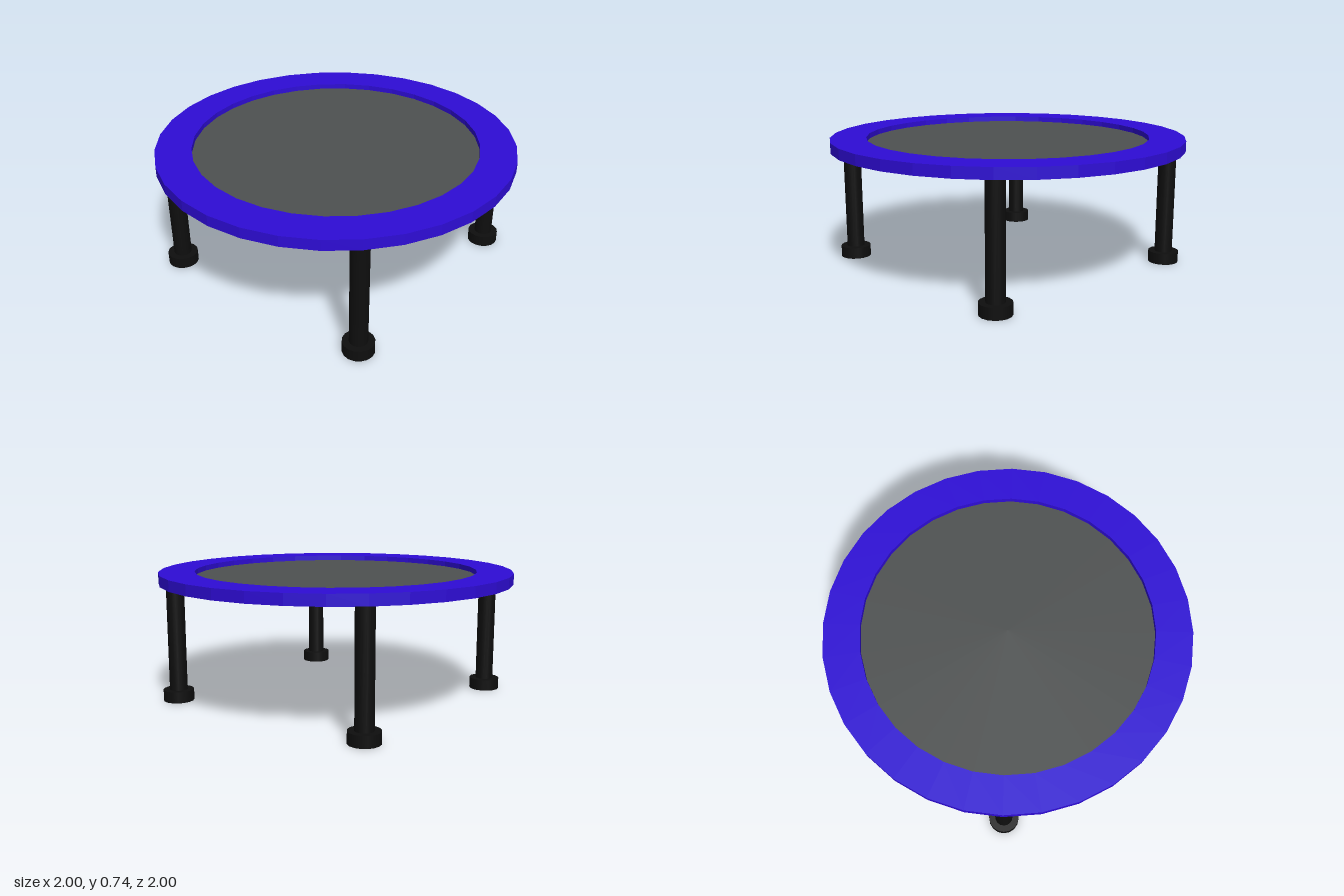
import * as THREE from 'three';

const SIDES = 32;

export function createModel() {
  const padBlue = new THREE.MeshStandardMaterial({ color: 0x2e0cd6 });
  const matGrey = new THREE.MeshStandardMaterial({ color: 0x4e5151 });
  const legBlack = new THREE.MeshStandardMaterial({ color: 0x0e0e0e });
  padBlue.flatShading = true;

  const model = new THREE.Group();
  model.name = 'trampoline';

  const add = (parent, name, geometry, material, y = 0) => {
    const mesh = new THREE.Mesh(geometry, material);
    mesh.name = name;
    mesh.position.y = y;
    parent.add(mesh);
  };

  // Padded rim: rectangular section swept around the centre
  const bottom = 0.678, top = 0.738, inner = 0.8, outer = 1;
  const section = [
    [inner, bottom], [outer, bottom], [outer, top], [inner, top], [inner, bottom],
  ].map(([x, y]) => new THREE.Vector2(x, y));
  add(model, 'rimPad', new THREE.LatheGeometry(section, SIDES), padBlue);

  // Jumping mat, recessed inside the rim
  add(model, 'jumpingMat', new THREE.CylinderGeometry(inner, inner, 0.012, SIDES), matGrey, 0.702);

  // Four legs with round feet, one on each axis
  const footHeight = 0.064;
  const legHeight = bottom - footHeight;
  const legGeometry = new THREE.CylinderGeometry(0.05, 0.05, legHeight, 16);
  const footGeometry = new THREE.CylinderGeometry(0.086, 0.086, footHeight, 16);
  ['frontLeg', 'leftLeg', 'backLeg', 'rightLeg'].forEach((name, i) => {
    const angle = (i * Math.PI) / 2;
    const leg = new THREE.Group();
    leg.name = name;
    leg.position.set(0.911 * Math.sin(angle), 0, 0.911 * Math.cos(angle));
    add(leg, 'post', legGeometry, legBlack, footHeight + legHeight / 2);
    add(leg, 'foot', footGeometry, legBlack, footHeight / 2);
    model.add(leg);
  });

  return model;
}
